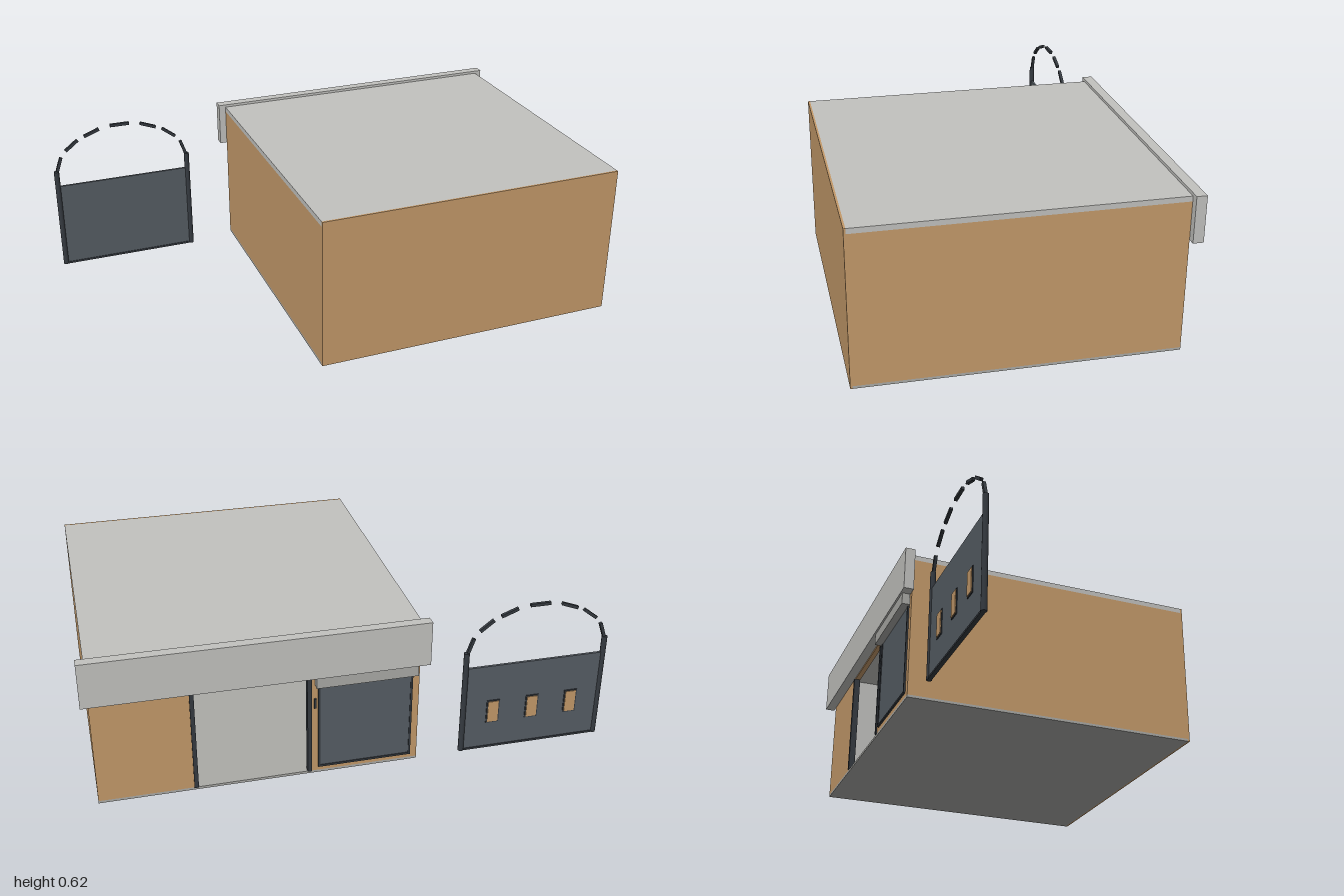
import * as THREE from 'three';

const mat = (name, color) => {
  const m = new THREE.MeshStandardMaterial({ color });
  m.name = name;
  return m;
};

export function createModel() {
  const root = new THREE.Group();
  root.name = 'shopAndGate';
  const tan = mat('tanWall', 0xc49a6a);
  const pale = mat('paleGrey', 0xc2c2bf);
  const grey = mat('floorGrey', 0xaaaaa6);
  const slate = mat('slatePanel', 0x565d64);
  const dark = mat('darkFrame', 0x353a40);

  // box given by its min and max corners
  const box = (parent, name, m, x0, x1, y0, y1, z0, z1) => {
    const mesh = new THREE.Mesh(new THREE.BoxGeometry(x1 - x0, y1 - y0, z1 - z0), m);
    mesh.position.set((x0 + x1) / 2, (y0 + y1) / 2, (z0 + z1) / 2);
    mesh.name = name;
    parent.add(mesh);
    return mesh;
  };

  // ---- shop building, its open side facing -z ----
  const shop = new THREE.Group();
  shop.name = 'shop';
  root.add(shop);
  const L = -0.24, R = 0.97, B = -0.57, F = 0.6;
  box(shop, 'floorSlab', grey, L, R, 0.01, 0.02, B, F);
  box(shop, 'roofSlab', pale, L, R, 0.59, 0.61, B, F);
  box(shop, 'frontWall', tan, L, R, 0.01, 0.61, F, F + 0.008);
  box(shop, 'rightWall', tan, L, L + 0.012, 0.02, 0.59, B, F);
  box(shop, 'leftWall', tan, R - 0.012, R, 0.02, 0.59, B, F);

  // pale lining on the inside of the walls
  box(shop, 'rightLining', pale, L + 0.012, L + 0.02, 0.02, 0.59, B + 0.02, F);
  box(shop, 'leftLining', pale, R - 0.02, R - 0.012, 0.02, 0.59, B + 0.02, F);
  box(shop, 'frontLining', pale, L + 0.02, R - 0.02, 0.02, 0.59, F - 0.008, F);

  // shop front wall with a doorway
  const wall = new THREE.Shape([[L + 0.012, 0.02], [0.18, 0.02], [0.18, 0.44], [0.61, 0.44],
    [0.61, 0.02], [R - 0.012, 0.02], [R - 0.012, 0.59], [L + 0.012, 0.59]]
    .map(([x, y]) => new THREE.Vector2(x, y)));
  const shopFront = new THREE.Mesh(
    new THREE.ExtrudeGeometry(wall, { depth: 0.02, bevelEnabled: false }), tan);
  shopFront.position.z = B;
  shopFront.name = 'shopFrontWall';
  shop.add(shopFront);

  // door posts and handle
  for (const x of [0.172, 0.602]) {
    box(shop, 'doorPost', dark, x, x + 0.016, 0.02, 0.44, B - 0.005, B + 0.02);
  }
  box(shop, 'doorHandle', dark, 0.155, 0.163, 0.3, 0.34, B - 0.008, B);

  // shuttered window
  box(shop, 'windowPane', slate, -0.205, 0.14, 0.045, 0.425, B - 0.004, B);
  for (const x of [-0.213, 0.14]) {
    box(shop, 'windowSideFrame', dark, x, x + 0.008, 0.037, 0.433, B - 0.007, B);
  }
  for (const y of [0.037, 0.425]) {
    box(shop, 'windowRail', dark, -0.205, 0.14, y, y + 0.008, B - 0.007, B);
  }
  box(shop, 'shutterBox', grey, -0.225, 0.16, 0.4, 0.445, -0.603, B - 0.002);

  // blank sign board
  box(shop, 'signBoard', pale, -0.268, 0.998, 0.445, 0.62, -0.61, B - 0.001);

  // ---- free standing gate ----
  const gate = new THREE.Group();
  gate.name = 'gate';
  gate.position.set(-0.71, 0, -0.546);
  root.add(gate);
  box(gate, 'gatePanel', slate, -0.27, 0.27, 0.006, 0.367, -0.005, 0.005);
  box(gate, 'gateBottomRail', dark, -0.27, 0.27, 0, 0.008, -0.008, 0.008);
  for (const s of [-1, 1]) {
    const post = new THREE.Mesh(new THREE.CylinderGeometry(0.011, 0.011, 0.435, 12), dark);
    post.position.set(s * 0.279, 0.2175, 0);
    post.name = 'gatePost';
    gate.add(post);
  }

  // dashed arch: half of the bars are listed and mirrored
  const bar = (x0, y0, x1, y1) => {
    const len = Math.hypot(x1 - x0, y1 - y0);
    const mesh = new THREE.Mesh(new THREE.BoxGeometry(len, 0.012, 0.012), dark);
    mesh.position.set((x0 + x1) / 2, (y0 + y1) / 2, 0);
    mesh.rotation.z = Math.atan2(y1 - y0, x1 - x0);
    mesh.name = 'archBar';
    gate.add(mesh);
  };
  bar(-0.04, 0.608, 0.04, 0.608);
  for (const s of [-1, 1]) {
    bar(s * 0.275, 0.437, s * 0.255, 0.495);
    bar(s * 0.233, 0.522, s * 0.18, 0.563);
    bar(s * 0.152, 0.575, s * 0.087, 0.6);
  }

  // small tan plates with dark surrounds on the gate
  for (const x of [-0.16, 0, 0.16]) {
    box(gate, 'plateSurround', dark, x - 0.026, x + 0.026, 0.115, 0.215, -0.008, -0.005);
    box(gate, 'gatePlate', tan, x - 0.021, x + 0.021, 0.12, 0.21, -0.011, -0.008);
  }
  return root;
}
